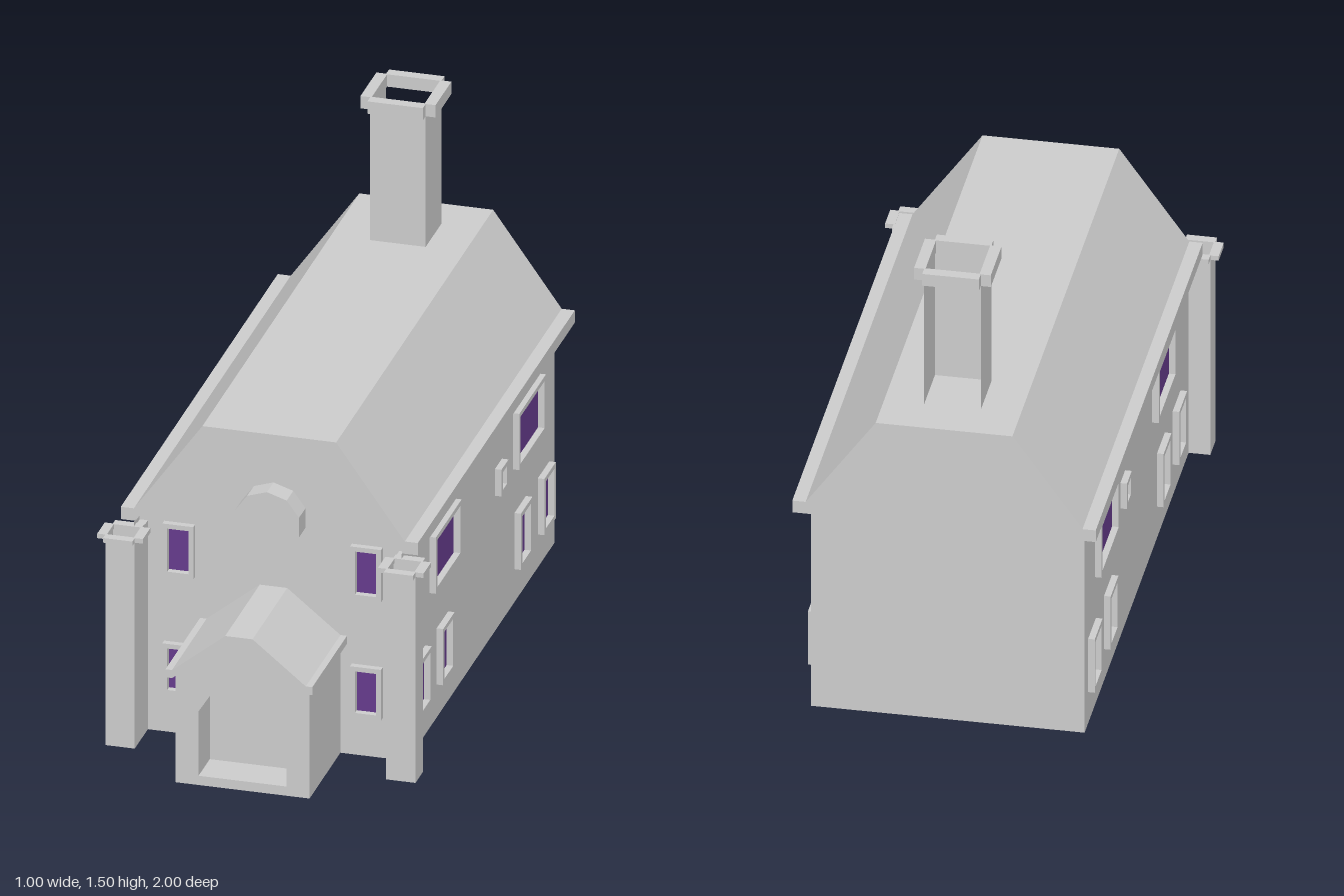
import * as THREE from 'three';

const grey = new THREE.MeshStandardMaterial({ color: 0xcccccc, flatShading: true, side: THREE.DoubleSide });
const glass = new THREE.MeshStandardMaterial({ color: 0x653b8c, flatShading: true, side: THREE.DoubleSide });

function add(parent, name, geometry, material = grey) {
  const mesh = new THREE.Mesh(geometry, material);
  mesh.name = name;
  parent.add(mesh);
  return mesh;
}

const toVectors = (pts) => pts.map(([x, y]) => new THREE.Vector2(x, y));
const rect = (x0, y0, x1, y1) => [[x0, y0], [x1, y0], [x1, y1], [x0, y1]];
// Completes a half outline (x >= 0, bottom to top) with its mirror image
const mirrored = (half) => [...half, ...half.map(([x, y]) => [-x, y]).reverse()];

function shapeOf(outline, holes = []) {
  const shape = new THREE.Shape(toVectors(outline));
  for (const h of holes) shape.holes.push(new THREE.Path(toVectors(h)));
  return shape;
}

const flat = (outline, holes) => new THREE.ShapeGeometry(shapeOf(outline, holes));

function slab(outline, depth, holes) {
  return new THREE.ExtrudeGeometry(shapeOf(outline, holes), { depth, bevelEnabled: false });
}

// Open sheet: a 2D path swept along z from 0 to depth
function strip(path, depth) {
  const pos = [];
  for (let i = 0; i < path.length - 1; i++) {
    const [ax, ay] = path[i], [bx, by] = path[i + 1];
    pos.push(ax, ay, 0, bx, by, 0, bx, by, depth, ax, ay, 0, bx, by, depth, ax, ay, depth);
  }
  const g = new THREE.BufferGeometry();
  g.setAttribute('position', new THREE.Float32BufferAttribute(pos, 3));
  g.computeVertexNormals();
  return g;
}

// Plus-shaped outline around a rectangle of half sizes a, b
function plus(a, b, e) {
  return [[-a, -b - e], [a, -b - e], [a, -b], [a + e, -b], [a + e, b], [a, b],
    [a, b + e], [-a, b + e], [-a, b], [-a - e, b], [-a - e, -b], [-a, -b]];
}

// Wall with window openings [x0, y0, x1, y1] given by the outer frame
function wall(name, outline, windows) {
  const t = 0.015;
  const group = new THREE.Group();
  group.name = name;
  const panes = windows.map(([a, b, c, d]) => rect(a + t, b + t, c - t, d - t));
  add(group, name + 'Panel', flat(outline, panes));
  windows.forEach((w, i) => {
    add(group, 'windowFrame', slab(rect(...w), 0.02, [panes[i]]));
    add(group, 'windowPane', flat(panes[i]), glass);
  });
  return group;
}

// Hollow square shaft with a notched rim at the top
function shaft(name, a, b, y0, y1, rim, e, path) {
  const group = new THREE.Group();
  group.name = name;
  add(group, name + 'Walls', strip(path, y1 - y0).rotateX(-Math.PI / 2)).position.y = y0;
  const cap = slab(plus(a, b, e), rim, [rect(-a + 0.004, -b + 0.004, a - 0.004, b - 0.004)]);
  add(group, name + 'Cap', cap.rotateX(-Math.PI / 2)).position.y = y1 - rim;
  return group;
}

export function createModel() {
  const model = new THREE.Group();
  model.name = 'house';

  // House walls
  const frontZ = 0.63, sideEnd = 0.69, backZ = -0.94, halfW = 0.41;
  const gable = mirrored([[halfW, 0], [halfW, 0.7], [0.205, 1.0]]);
  const frontWindows = [];
  for (const [y0, y1] of [[0.13, 0.295], [0.515, 0.685]]) {
    frontWindows.push([0.24, y0, 0.335, y1], [-0.335, y0, -0.24, y1]);
  }
  const front = wall('frontWall', gable, frontWindows);
  front.position.z = frontZ;
  model.add(front);
  add(model, 'backWall', flat(rect(-halfW, 0, halfW, 0.7))).position.z = backZ;

  // Side windows as [z0, y0, z1, y1]
  const sideWindows = [[0.12, 0.44, 0.395, 0.623], [-0.78, 0.44, -0.495, 0.623], [-0.38, 0.44, -0.305, 0.527]];
  for (const z of [0.44, 0.195, -0.635, -0.885]) sideWindows.push([z, 0.107, z + 0.122, 0.29]);
  for (const s of [1, -1]) {
    const along = ([a, b, c, d]) => (s > 0 ? [-c, b, -a, d] : [a, b, c, d]);
    const side = wall(s > 0 ? 'leftWall' : 'rightWall', rect(...along([backZ, 0, sideEnd, 0.7])), sideWindows.map(along));
    side.rotation.y = s * Math.PI / 2;
    side.position.x = s * halfW;
    model.add(side);

    // Corner columns, with the short return joining them to the front wall
    const a = 0.045, b = 0.04;
    const column = shaft('cornerColumn', a, b, 0, 0.685, 0.015, 0.025, [...rect(-a, -b, a, b), [-a, -b]]);
    column.position.set(s * 0.43, 0, 0.73);
    model.add(column);
    const back = new THREE.BoxGeometry(0.025, 0.68, sideEnd - frontZ);
    add(model, 'columnReturn', back).position.set(s * 0.3975, 0.34, (sideEnd + frontZ) / 2);
  }

  // Main roof: shell with small flat eaves, closed at the back
  const roofTop = [[0.455, 0.695], [0.455, 0.735], [0.415, 0.735], [0.205, 1.03]];
  const roofInside = [[-0.205, 1.0], [-0.41, 0.695]];
  const shell = [[0.41, 0.695], ...mirrored(roofTop), roofInside[1], roofInside[0], [0.205, 1.0]];
  add(model, 'roof', slab(shell, 1.675)).position.z = -1;
  add(model, 'roofBackGable', slab(mirrored(roofTop), 0.06)).position.z = -1;

  // Round ornament on the front gable
  const disc = add(model, 'gableDisc', new THREE.CylinderGeometry(0.103, 0.103, 0.07, 10).rotateX(Math.PI / 2));
  disc.position.set(0, 0.75, frontZ + 0.035);

  // Porch: walls, arched door recess and roof
  const porch = new THREE.Group();
  porch.name = 'porch';
  const arch = mirrored([[0.135, 0.03], [0.135, 0.24], [0.09, 0.31], [0.04, 0.35]]);
  const porchFront = mirrored([[0.205, 0], [0.205, 0.37], [0.04, 0.49]]);
  add(porch, 'porchFront', flat(porchFront, [arch])).position.z = 0.96;
  for (const s of [1, -1]) {
    add(porch, 'porchSide', strip([[s * 0.205, 0], [s * 0.205, 0.37]], 0.96 - frontZ)).position.z = frontZ;
  }
  add(porch, 'doorRecess', strip([...arch, arch[0]], 0.12)).position.z = 0.84;
  add(porch, 'door', flat(arch)).position.z = 0.84;
  const porchRoof = [[0.205, 0.357], [0.225, 0.357], [0.225, 0.383], [0.205, 0.383], [0.042, 0.515],
    [-0.042, 0.515], [-0.205, 0.383], [-0.225, 0.383], [-0.225, 0.357], [-0.205, 0.357], [-0.04, 0.485], [0.04, 0.485]];
  add(porch, 'porchRoof', slab(porchRoof, 1 - frontZ)).position.z = frontZ;
  model.add(porch);

  // Chimney, open at the top and at the back
  const c = 0.085;
  const chimney = shaft('chimney', c, c, 1.03, 1.495, 0.04, 0.03, [[-c, c], [-c, -c], [c, -c], [c, c]]);
  chimney.position.z = -0.783;
  model.add(chimney);

  return model;
}
